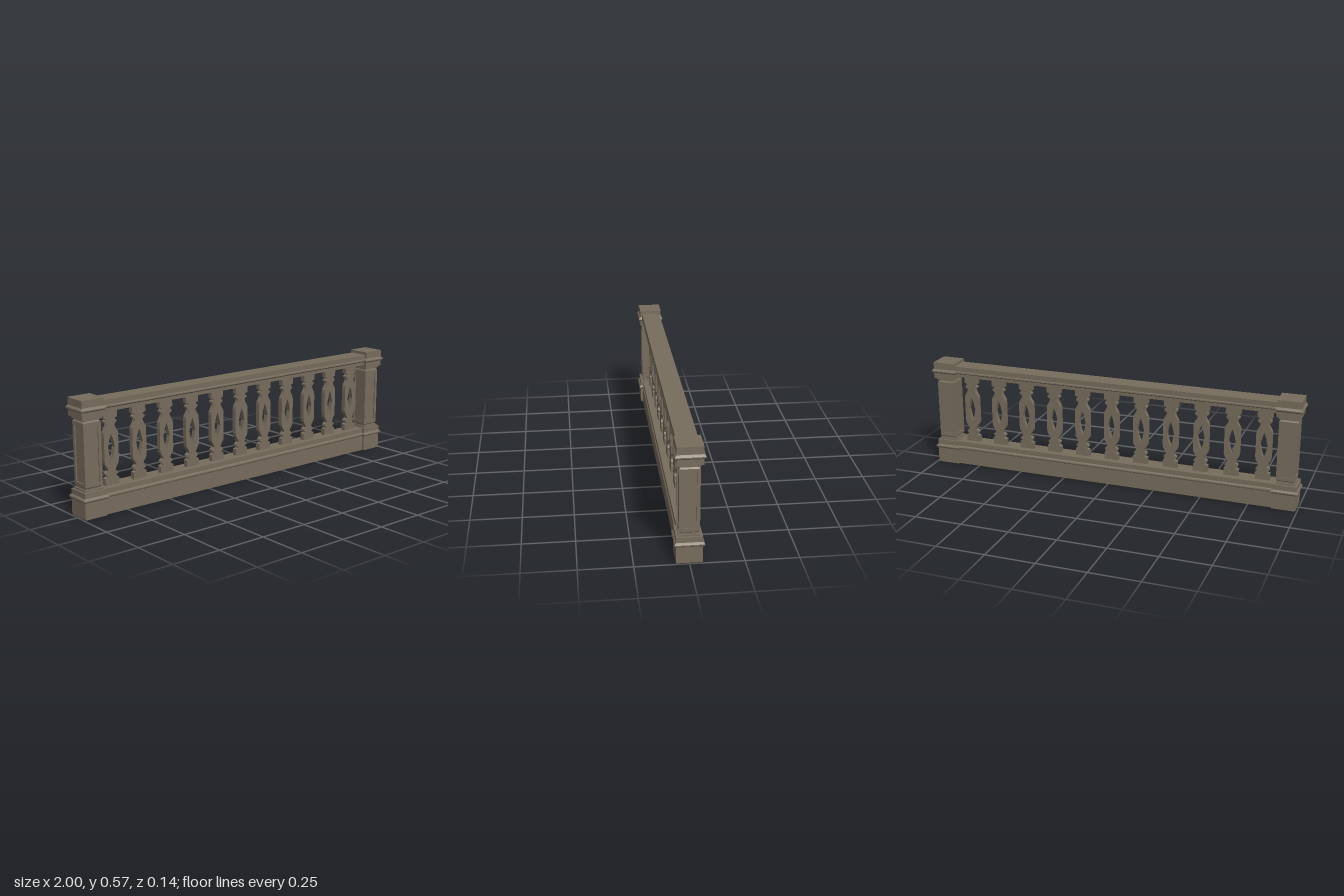
import * as THREE from 'three';

const stone = new THREE.MeshStandardMaterial({ color: 0x786d5d });
stone.name = 'weathered stone';

function part(name, geometry) {
  const mesh = new THREE.Mesh(geometry, stone);
  mesh.name = name;
  return mesh;
}

// Square turned piece: profile of [half width, height], from bottom to top
function squareTurned(profile) {
  const points = profile.map(([h, y]) => new THREE.Vector2(h * Math.SQRT2, y));
  const geometry = new THREE.LatheGeometry(points, 4, Math.PI / 4).toNonIndexed();
  geometry.computeVertexNormals();
  return geometry;
}

// Mirror one side of an outline about the vertical axis into a closed shape
function mirroredShape(side) {
  const left = side.map(([x, y]) => [-x, y]).reverse();
  return new THREE.Shape([...side, ...left].map(([x, y]) => new THREE.Vector2(x, y)));
}

function createPost() {
  const post = new THREE.Group();
  post.name = 'post';
  // Plinth with rounded moulding and stepped neck
  post.add(part('postBase', squareTurned([
    [0, 0], [0.06, 0], [0.06, 0.082], [0.065, 0.084], [0.0685, 0.09], [0.0685, 0.095],
    [0.065, 0.1], [0.06, 0.104], [0.06, 0.13], [0.05, 0.13], [0.05, 0.139],
    [0.042, 0.139], [0.042, 0.145], [0.0475, 0.151], [0, 0.151],
  ])));
  // Neck, capital and rounded moulding
  post.add(part('postCap', squareTurned([
    [0, 0.459], [0.0475, 0.459], [0.041, 0.466], [0.041, 0.472], [0.05, 0.472],
    [0.05, 0.483], [0.06, 0.483], [0.06, 0.512], [0.065, 0.514], [0.0685, 0.52],
    [0.0685, 0.525], [0.065, 0.53], [0.06, 0.535], [0.06, 0.571], [0, 0.571],
  ])));
  // Shaft: a core framed on four sides to leave recessed panels
  const core = part('shaftCore', new THREE.BoxGeometry(0.083, 0.31, 0.083));
  core.position.y = 0.305;
  post.add(core);
  const frame = mirroredShape([[0.0475, 0.15], [0.0475, 0.46]]);
  frame.holes.push(mirroredShape([[0.032, 0.167], [0.032, 0.443]]));
  const frameGeometry = new THREE.ExtrudeGeometry(frame, { depth: 0.007, bevelEnabled: false });
  frameGeometry.translate(0, 0, 0.0405);
  for (let i = 0; i < 4; i++) {
    const mesh = part('panelFrame', frameGeometry);
    mesh.rotation.y = i * Math.PI / 2;
    post.add(mesh);
  }
  return post;
}

// Moulded rail running along x between the posts
function createRail(name, side) {
  const length = 1.8;
  const geometry = new THREE.ExtrudeGeometry(mirroredShape(side), { depth: length, bevelEnabled: false });
  geometry.translate(0, 0, -length / 2);
  geometry.rotateY(Math.PI / 2);
  return part(name, geometry);
}

// Flat fretwork baluster with a diamond opening
function balusterGeometry() {
  const shape = mirroredShape([
    [0.038, 0.115], [0.038, 0.162], [0.024, 0.166], [0.024, 0.174], [0.034, 0.179],
    [0.034, 0.187], [0.02, 0.197], [0.024, 0.21], [0.038, 0.232],
    [0.04, 0.25], [0.04, 0.37], [0.038, 0.386], [0.024, 0.41], [0.02, 0.423],
    [0.034, 0.433], [0.034, 0.441], [0.024, 0.446], [0.024, 0.453], [0.038, 0.457], [0.038, 0.505],
  ]);
  shape.holes.push(mirroredShape([[0, 0.244], [0.011, 0.272], [0.019, 0.31], [0.011, 0.348], [0, 0.376]]
    .map(([x, y]) => [Math.max(x, 0.0005), y])));
  const geometry = new THREE.ExtrudeGeometry(shape, { depth: 0.025, bevelEnabled: false });
  geometry.translate(0, 0, -0.0125);
  return geometry;
}

export function createModel() {
  const balustrade = new THREE.Group();
  balustrade.name = 'balustrade';

  for (const side of [-1, 1]) {
    const post = createPost();
    post.name = side > 0 ? 'leftPost' : 'rightPost';
    post.position.x = side * 0.9315;
    balustrade.add(post);
  }

  balustrade.add(createRail('bottomRail', [
    [0.049, 0], [0.049, 0.084], [0.052, 0.087], [0.053, 0.092], [0.051, 0.098], [0.046, 0.102], [0.046, 0.127],
  ]));
  balustrade.add(createRail('topRail', [
    [0.043, 0.497], [0.043, 0.514], [0.049, 0.516], [0.053, 0.521], [0.052, 0.527], [0.05, 0.531], [0.05, 0.556],
  ]));

  const geometry = balusterGeometry();
  for (let i = 0; i < 11; i++) {
    const baluster = part('baluster', geometry);
    baluster.position.x = -0.005 + (i - 5) * 0.1606;
    balustrade.add(baluster);
  }
  return balustrade;
}
